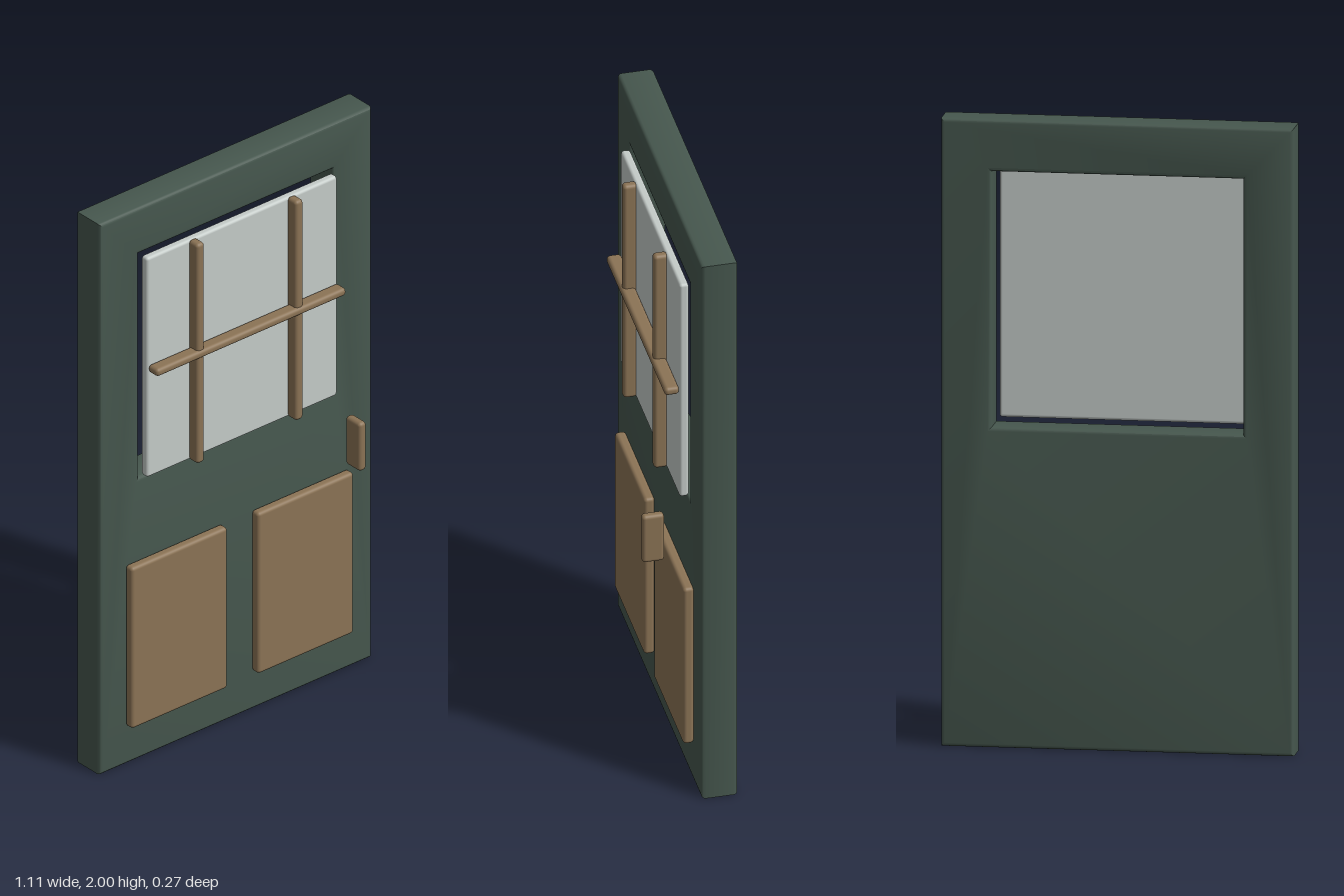
import * as THREE from 'three';
import { toCreasedNormals } from 'three/addons/utils/BufferGeometryUtils.js';
import { RoundedBoxGeometry } from 'three/addons/geometries/RoundedBoxGeometry.js';

const material = (name, color) => {
  const m = new THREE.MeshStandardMaterial({ color });
  m.name = name;
  return m;
};

export function createModel() {
  const green = material('green paint', 0x46574e);
  const wood = material('brown wood', 0x8b7355);
  const glass = material('pale glass', 0xc4cbc8);
  const door = new THREE.Group();
  door.name = 'door';

  // Rounded box given by its extents along each axis
  const block = (name, mat, [x0, x1], [y0, y1], [z0, z1], radius) => {
    const geometry = new RoundedBoxGeometry(x1 - x0, y1 - y0, z1 - z0, 3, radius);
    const mesh = new THREE.Mesh(geometry, mat);
    mesh.name = name;
    mesh.position.set((x0 + x1) / 2, (y0 + y1) / 2, (z0 + z1) / 2);
    door.add(mesh);
  };

  const rectangle = (PathType, x0, x1, y0, y1) => new PathType([
    new THREE.Vector2(x0, y0), new THREE.Vector2(x1, y0),
    new THREE.Vector2(x1, y1), new THREE.Vector2(x0, y1),
  ]);

  // Slab with the window opening, edges slightly rounded
  const bevel = 0.012, back = -0.135, front = -0.018;
  const outline = rectangle(THREE.Shape, -0.557, 0.557, 0, 2);
  outline.holes.push(rectangle(THREE.Path, -0.397, 0.397, 1.02, 1.835));
  const slabGeometry = new THREE.ExtrudeGeometry(outline, {
    depth: front - back - 2 * bevel,
    bevelEnabled: true,
    bevelThickness: bevel,
    bevelSize: bevel,
    bevelOffset: -bevel,
    bevelSegments: 3,
  });
  slabGeometry.translate(0, 0, back + bevel);
  const slab = new THREE.Mesh(toCreasedNormals(slabGeometry, 0.7), green);
  slab.name = 'doorSlab';
  door.add(slab);

  // Window pane and its glazing bars
  block('windowPane', glass, [-0.39, 0.39], [1.03, 1.828], [-0.018, 0.012], 0.01);
  block('horizontalBar', wood, [-0.388, 0.388], [1.415, 1.443], [0.012, 0.059], 0.012);
  for (const x of [-0.202, 0.202]) {
    block('verticalBar', wood, [x - 0.016, x + 0.016], [1.03, 1.828], [0.006, 0.052], 0.012);
  }

  // Raised lower panels
  block('rightPanel', wood, [-0.455, -0.062], [0.142, 0.727], [-0.019, 0.016], 0.012);
  block('leftPanel', wood, [0.062, 0.455], [0.142, 0.727], [-0.019, 0.016], 0.012);

  // Handle standing off the slab
  block('handle', wood, [0.376, 0.406], [0.81, 0.985], [0.064, 0.135], 0.012);

  return door;
}
